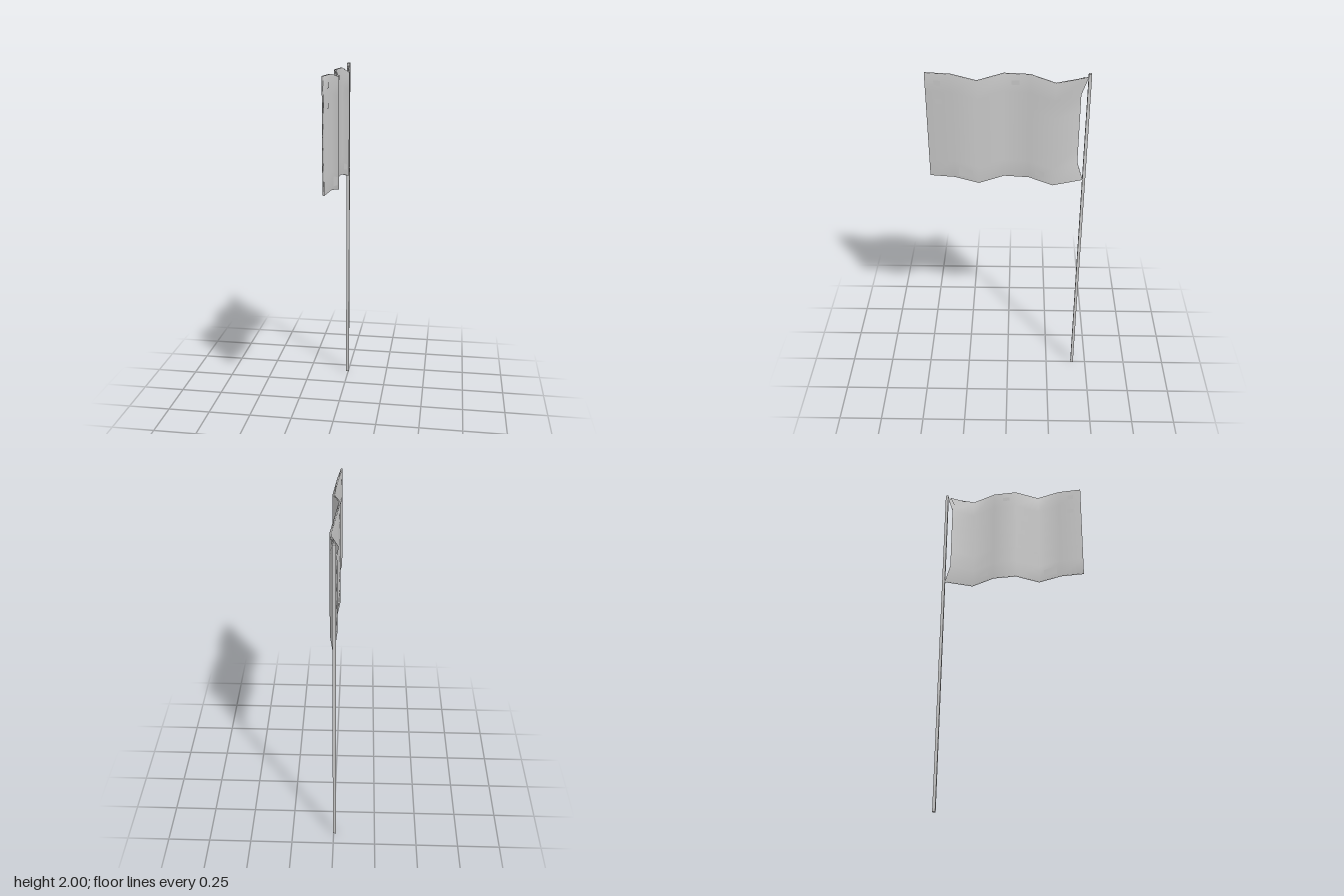
import * as THREE from 'three';

const HALF = 0.005; // half the cloth thickness
const ROWS = 6;
// Columns from the free end to the pole: z, wave offset x, vertical sag
const COLUMNS = [
  [0.424, -0.02, 0], [0.29, -0.003, 0], [0.157, 0.016, -0.026], [0.02, -0.02, 0],
  [-0.115, -0.006, 0], [-0.245, 0.018, -0.036], [-0.377, -0.016, -0.012],
];

// Centre point of the cloth at a grid crossing; the pole-side corners reach out to the pole
function clothPoint(i, j) {
  const [z, x, sag] = COLUMNS[i];
  const y = 1.395 + 0.1 * j + sag;
  if (i === COLUMNS.length - 1 && (j === 0 || j === ROWS)) return new THREE.Vector3(-0.002, y, -0.409);
  return new THREE.Vector3(x, y, z);
}

function build(positions, index, material, name) {
  const geometry = new THREE.BufferGeometry();
  geometry.setAttribute('position', new THREE.Float32BufferAttribute(positions, 3));
  geometry.setIndex(index);
  geometry.computeVertexNormals();
  const mesh = new THREE.Mesh(geometry, material);
  mesh.name = name;
  return mesh;
}

// Closed thin shell: each column is a ring going up one face and down the other
function createCloth(material) {
  const positions = [], index = [];
  const ring = 2 * (ROWS + 1), last = COLUMNS.length - 1;
  const quad = (a, b, c, d) => index.push(a, b, c, a, c, d);
  for (let i = 0; i <= last; i++) {
    for (let k = 0; k < ring; k++) {
      const near = k <= ROWS;
      const p = clothPoint(i, near ? k : ring - 1 - k);
      positions.push(p.x + (near ? HALF : -HALF), p.y, p.z);
      const n = (k + 1) % ring;
      if (i < last) quad(i * ring + k, (i + 1) * ring + k, (i + 1) * ring + n, i * ring + n);
    }
  }
  for (let j = 0; j < ROWS; j++) {
    const o = last * ring, f = ring - 1 - j;
    quad(f, j, j + 1, f - 1);
    quad(o + j, o + f, o + f - 1, o + j + 1);
  }
  return build(positions, index, material, 'flagCloth');
}

// Wave offset of the cloth at a given z
function waveX(z) {
  let i = 0;
  while (i < COLUMNS.length - 2 && z < COLUMNS[i + 1][0]) i++;
  const [z0, x0] = COLUMNS[i], [z1, x1] = COLUMNS[i + 1];
  return THREE.MathUtils.lerp(x0, x1, (z - z0) / (z1 - z0));
}

// Small flat patch on one face, given its corners as [z, y]
function createPatch(corners, side, material) {
  const positions = corners.flatMap(([z, y]) => [waveX(z) + side * (HALF + 0.002), y, z]);
  return build(positions, side > 0 ? [0, 1, 2, 0, 2, 3] : [0, 2, 1, 0, 3, 2], material, 'flagPatch');
}

export function createModel() {
  const model = new THREE.Group();
  const material = new THREE.MeshStandardMaterial({ color: 0xcccccc });
  const patchMaterial = new THREE.MeshStandardMaterial({ color: 0xcccccc, side: THREE.DoubleSide });

  // Square pole
  const pole = new THREE.Mesh(new THREE.BoxGeometry(0.018, 2, 0.016), material);
  pole.name = 'pole';
  pole.position.set(-0.005, 1, -0.416);
  model.add(pole);

  const flag = new THREE.Group();
  flag.name = 'flag';
  flag.add(createCloth(material));

  // Patches near the hems, repeated on both faces
  const box = (z0, z1, y0, y1) => [[z0, y0], [z1, y0], [z1, y1], [z0, y1]];
  const patches = [
    box(0.378, 0.343, 1.93, 1.958),
    box(0.378, 0.34, 1.83, 1.856),
    box(-0.02, -0.06, 1.937, 1.961),
    [[0.265, 1.408], [0.187, 1.4], [0.187, 1.444], [0.265, 1.462]],
    [[-0.148, 1.415], [-0.198, 1.405], [-0.198, 1.436], [-0.148, 1.452]],
    [[-0.315, 1.905], [-0.362, 1.912], [-0.392, 1.973], [-0.265, 1.95]],
  ];
  for (const corners of patches) {
    for (const side of [1, -1]) flag.add(createPatch(corners, side, patchMaterial));
  }
  model.add(flag);
  return model;
}
